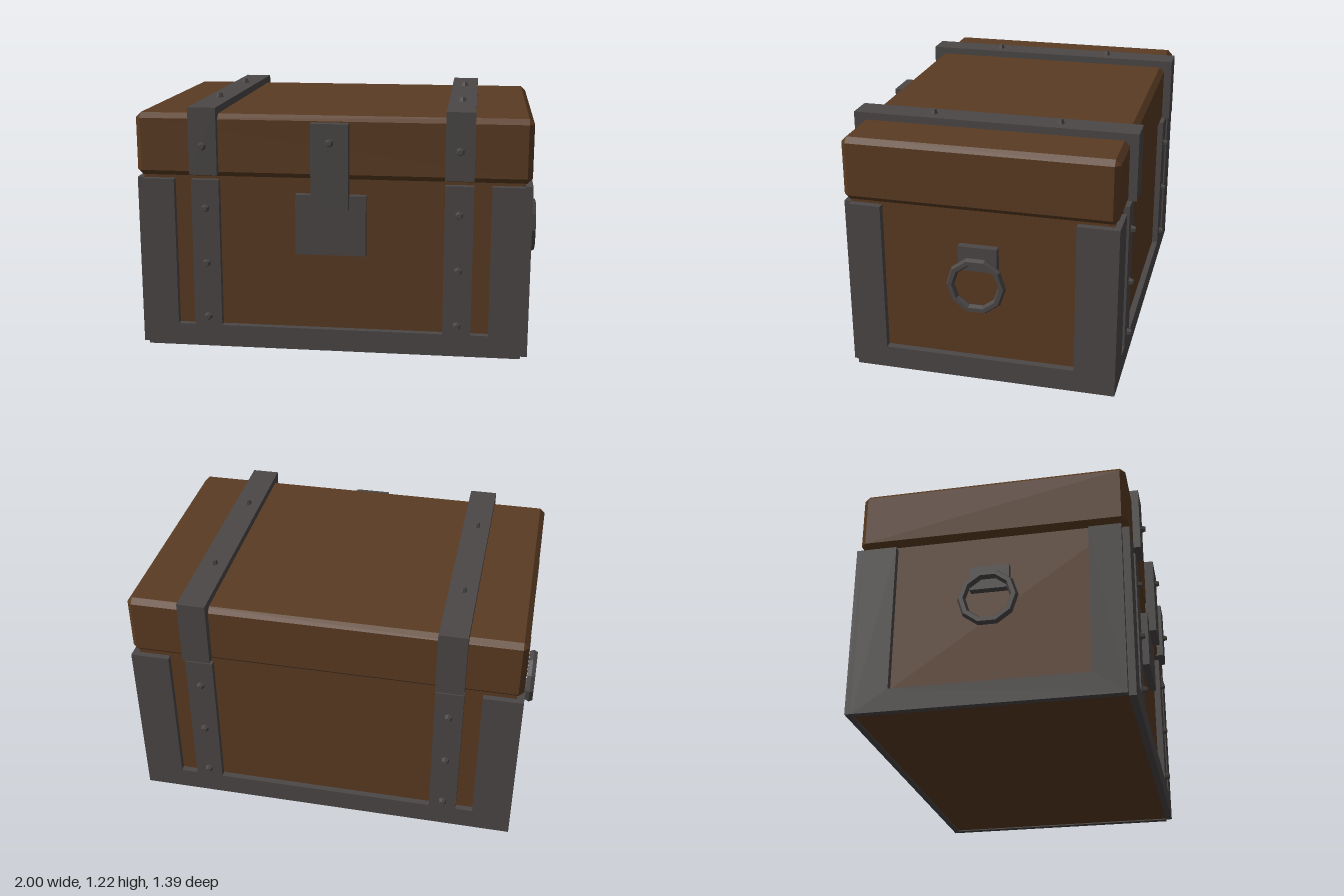
import * as THREE from 'three';
import { ConvexGeometry } from 'three/addons/geometries/ConvexGeometry.js';

const wood = new THREE.MeshStandardMaterial({ color: 0x5a3b22, flatShading: true });
wood.name = 'brown wood';
const iron = new THREE.MeshStandardMaterial({ color: 0x4b4746, flatShading: true });
iron.name = 'dark iron';

const BAND = 0.11, RIM = 0.845; // height of the bottom band and of the iron frame
const STRAP_X = 0.612, STRAP_W = 0.136;

function add(parent, name, geometry, material) {
  const mesh = new THREE.Mesh(geometry, material);
  mesh.name = name;
  parent.add(mesh);
  return mesh;
}

// Box given by its minimum and maximum corners
function box(parent, name, material, min, max) {
  const size = max.map((v, i) => v - min[i]);
  const mesh = add(parent, name, new THREE.BoxGeometry(...size), material);
  mesh.position.set(...max.map((v, i) => (v + min[i]) / 2));
  return mesh;
}

// Box with every edge and corner chamfered
function chamferedBox(w, h, d, c) {
  const half = [w / 2, h / 2, d / 2];
  const points = [];
  for (const sx of [-1, 1]) for (const sy of [-1, 1]) for (const sz of [-1, 1])
    for (let full = 0; full < 3; full++) {
      const p = [sx, sy, sz].map((s, i) => s * (i === full ? half[i] : half[i] - c));
      points.push(new THREE.Vector3(...p));
    }
  return new ConvexGeometry(points);
}

// Iron sheet: a bottom band with upright bars, each bar a [from, to] pair
function frameSheet(bars, depth) {
  const shape = new THREE.Shape();
  shape.moveTo(bars[0][0], 0);
  shape.lineTo(bars[bars.length - 1][1], 0);
  [...bars].reverse().forEach(([from, to], i) => {
    if (i > 0) shape.lineTo(to, BAND);
    shape.lineTo(to, RIM);
    shape.lineTo(from, RIM);
    if (i < bars.length - 1) shape.lineTo(from, BAND);
  });
  shape.closePath();
  return new THREE.ExtrudeGeometry(shape, { depth, bevelEnabled: false });
}

const rivetShape = new THREE.CylinderGeometry(0.013, 0.022, 0.026, 6).translate(0, 0.009, 0);
const UP = new THREE.Vector3(0, 1, 0);
function rivet(parent, position, normal) {
  const mesh = add(parent, 'rivet', rivetShape, iron);
  mesh.position.set(...position);
  mesh.quaternion.setFromUnitVectors(UP, new THREE.Vector3(...normal));
}

export function createModel() {
  const chest = new THREE.Group();
  chest.name = 'chest';

  // Wooden body and lid
  box(chest, 'body', wood, [-0.92, 0.006, -0.635], [0.92, 0.87, 0.603]);
  const lid = add(chest, 'lid', chamferedBox(1.9, 0.305, 1.285, 0.025), wood);
  lid.position.set(0, 1.0125, -0.0125);

  // Iron frame on the four walls
  const inner = STRAP_X - STRAP_W / 2, outer = STRAP_X + STRAP_W / 2;
  const bars = (edge) => [[-edge, -0.765], [-outer, -inner], [inner, outer], [0.765, edge]];
  add(chest, 'frontFrame', frameSheet(bars(0.92), 0.034), iron).position.z = 0.603;
  add(chest, 'backFrame', frameSheet(bars(0.955), 0.03), iron).position.z = -0.665;
  for (const side of [-1, 1]) {
    const frame = add(chest, side > 0 ? 'leftFrame' : 'rightFrame',
      frameSheet([[-0.603, -0.45], [0.47, 0.635]], 0.035), iron);
    frame.rotation.y = Math.PI / 2;
    frame.position.x = side > 0 ? 0.92 : -0.955;
  }

  // Lid straps and rivets
  for (const side of [-1, 1]) {
    const x = side * STRAP_X;
    box(chest, 'lidStrap', iron, [x - STRAP_W / 2, 0.875, -0.695], [x + STRAP_W / 2, 1.2, 0.665]);
    for (const z of [0.29, -0.32]) rivet(chest, [x, 1.2, z], [0, 1, 0]);
    rivet(chest, [x, 1.015, 0.665], [0, 0, 1]);
    for (const y of [0.155, 0.43, 0.705]) {
      rivet(chest, [x, y, 0.637], [0, 0, 1]);
      rivet(chest, [x, y, -0.665], [0, 0, -1]);
    }
  }

  // Lock plate and hasp
  box(chest, 'lockPlate', iron, [-0.17, 0.49, 0.6], [0.17, 0.785, 0.64]);
  box(chest, 'hasp', iron, [-0.09, 0.72, 0.625], [0.09, 1.135, 0.677]);
  rivet(chest, [0, 1.045, 0.677], [0, 0, 1]);

  // Ring handles on the side walls
  for (const side of [-1, 1]) {
    const handle = new THREE.Group();
    handle.name = side > 0 ? 'leftHandle' : 'rightHandle';
    const x = [side * 0.91, side * 0.957].sort((a, b) => a - b);
    box(handle, 'handlePlate', iron, [x[0], 0.57, -0.105], [x[1], 0.69, 0.08]);
    const ring = add(handle, 'ring', new THREE.TorusGeometry(0.123, 0.02, 6, 10), iron);
    ring.rotation.y = Math.PI / 2;
    ring.scale.z = 1.15;
    ring.position.set(side * 0.98, 0.51, -0.012);
    chest.add(handle);
  }
  return chest;
}
